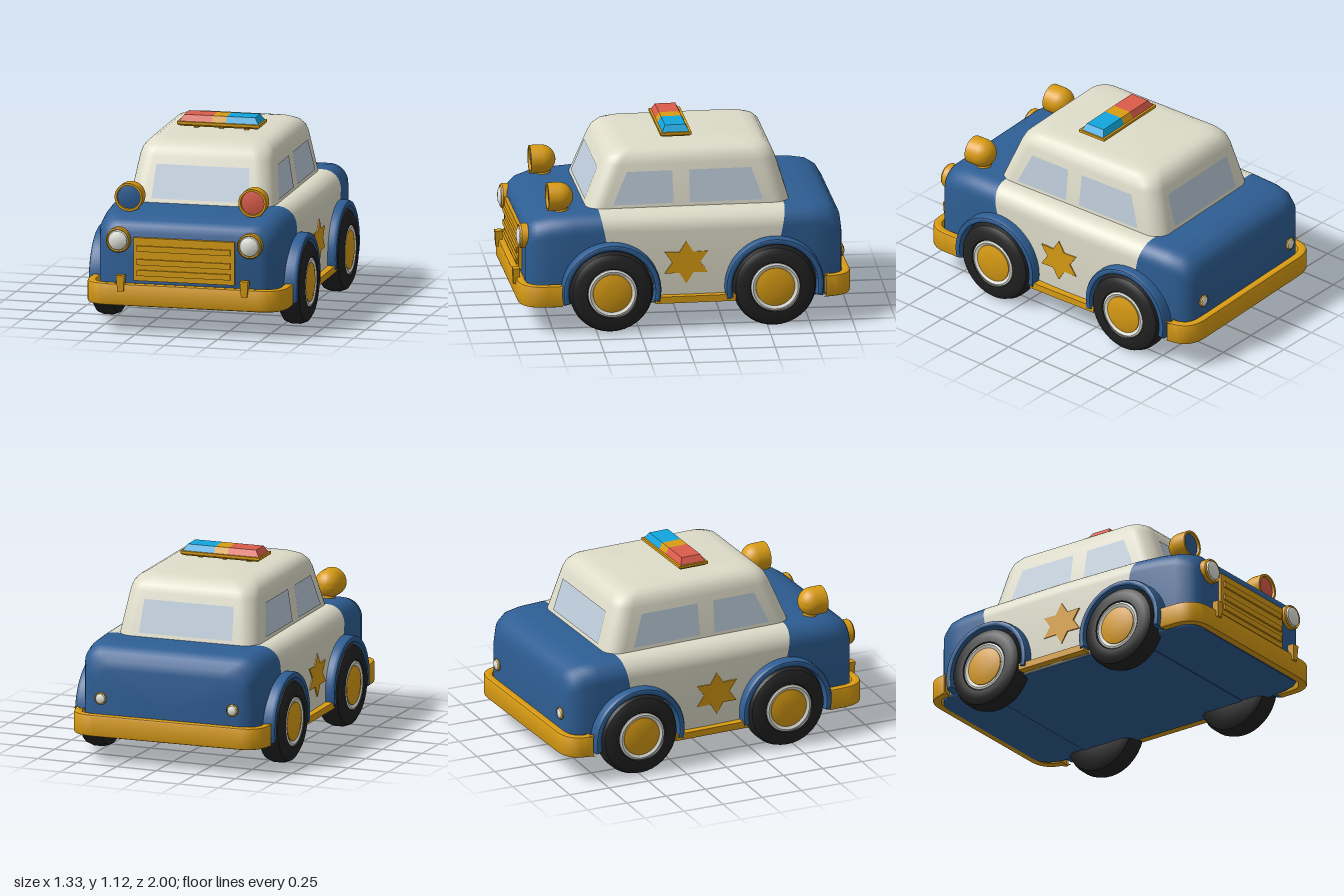
import * as THREE from 'three';
import { toCreasedNormals } from 'three/addons/utils/BufferGeometryUtils.js';

const paint = (name, color, side = THREE.FrontSide) => {
  const m = new THREE.MeshStandardMaterial({ color, side });
  m.name = name;
  return m;
};

// Counter-clockwise rounded rectangle with separate radii for low and high b
function roundRect(a0, a1, b0, b1, rLow, rHigh) {
  const pts = [];
  const corners = [[a1, b0, -1, 1, rLow], [a1, b1, -1, -1, rHigh], [a0, b1, 1, -1, rHigh], [a0, b0, 1, 1, rLow]];
  corners.forEach(([a, b, sa, sb, r], k) => {
    const n = r > 0 ? 8 : 0;
    for (let i = 0; i <= n; i++) {
      const t = (k - 1 + i / (n || 1)) * Math.PI / 2;
      pts.push([a + sa * r + r * Math.cos(t), b + sb * r + r * Math.sin(t)]);
    }
  });
  return pts;
}

// Skin over a row of rings, closed at both ends
function loft(rings, crease = 0.75) {
  const n = rings[0].length, pos = [], idx = [];
  rings.forEach(r => r.forEach(p => pos.push(...p)));
  for (let k = 0; k < rings.length - 1; k++) {
    for (let i = 0; i < n; i++) {
      const a = k * n + i, b = k * n + (i + 1) % n;
      idx.push(a, b, b + n, a, b + n, a + n);
    }
  }
  [0, rings.length - 1].forEach((k, end) => {
    const c = pos.length / 3;
    pos.push(...[0, 1, 2].map(j => rings[k].reduce((s, p) => s + p[j], 0) / n));
    for (let i = 0; i < n; i++) {
      const a = k * n + i, b = k * n + (i + 1) % n;
      idx.push(c, end ? a : b, end ? b : a);
    }
  });
  const g = new THREE.BufferGeometry();
  g.setAttribute('position', new THREE.Float32BufferAttribute(pos, 3));
  g.setIndex(idx);
  return toCreasedNormals(g, crease);
}

const ringUp = (y, x0, x1, z0, z1, r = 0) =>
  roundRect(z0, z1, x0, x1, r, r).map(([z, x]) => [x, y, z]);
const ringAlong = ([z, w, h, shear = 0]) =>
  roundRect(-w, w, 0.16, h, 0.02, 0.11).map(([x, y]) => [x, y, z + shear * (y - 0.68)]);
const lathe = pts => toCreasedNormals(
  new THREE.LatheGeometry(pts.map(p => new THREE.Vector2(...p)), 40), 0.6);

// C-shaped bumper facing +z
function bumper(w, out, end) {
  const s = new THREE.Shape(), t = 0.05, r = 0.16;
  s.moveTo(w, -end);
  s.lineTo(w - t, -end);
  s.lineTo(w - t, r - out);
  s.quadraticCurveTo(w - t, t - out, w - r, t - out);
  s.lineTo(r - w, t - out);
  s.quadraticCurveTo(t - w, t - out, t - w, r - out);
  s.lineTo(t - w, -end);
  s.lineTo(-w, -end);
  s.lineTo(-w, r - out);
  s.quadraticCurveTo(-w, -out, r - w, -out);
  s.lineTo(w - r, -out);
  s.quadraticCurveTo(w, -out, w, r - out);
  const g = new THREE.ExtrudeGeometry(s, {
    depth: 0.106, bevelThickness: 0.012, bevelSize: 0.012, bevelOffset: -0.012, bevelSegments: 2, curveSegments: 10 });
  return toCreasedNormals(g.rotateX(-Math.PI / 2).translate(0, 0.174, 0), 0.7);
}

export function createModel() {
  const blue = paint('body blue', 0x2e5e94);
  const cream = paint('cream', 0xdedcc9);
  const gold = paint('gold trim', 0xd99c14);
  const black = paint('tyre black', 0x222222);
  const white = paint('white', 0xe6e6de);
  const glass = paint('window glass', 0xbccbd9, THREE.DoubleSide);
  const red = paint('signal red', 0xdb5c4b);
  const cyan = paint('signal cyan', 0x12a5dc);

  const root = new THREE.Group(), car = new THREE.Group();
  root.name = 'policeCar';
  car.name = 'car';
  car.rotation.y = 0.035;
  car.position.x = -0.005;
  root.add(car);
  const add = (name, geo, mat, x = 0, y = 0, z = 0) => {
    const m = new THREE.Mesh(geo, mat);
    m.name = name;
    m.position.set(x, y, z);
    car.add(m);
    return m;
  };
  const box = (name, mat, x0, x1, y0, y1, z0, z1) =>
    add(name, new THREE.BoxGeometry(x1 - x0, y1 - y0, z1 - z0), mat, (x0 + x1) / 2, (y0 + y1) / 2, (z0 + z1) / 2);

  // Lower body: z, half width, top height, slant of the colour break
  const rearBreak = [-0.59, 0.567, 0.698, -0.2], frontBreak = [0.49, 0.56, 0.7, 0.2];
  add('rearBody', loft([[-0.935, 0.44, 0.56], [-0.925, 0.48, 0.61], [-0.895, 0.52, 0.655],
    [-0.84, 0.545, 0.685], [-0.75, 0.558, 0.696], rearBreak].map(ringAlong)), blue);
  add('doors', loft([rearBreak, [-0.05, 0.575, 0.7], frontBreak].map(ringAlong)), cream);
  add('hood', loft([frontBreak, [0.65, 0.552, 0.692], [0.78, 0.54, 0.677], [0.86, 0.52, 0.655],
    [0.9, 0.49, 0.63], [0.92, 0.45, 0.59]].map(ringAlong)), blue);
  box('floor', blue, -0.555, 0.555, 0.155, 0.165, -0.62, 0.52);

  // Cabin: height, half width, front, back
  add('cabin', loft([[0.66, 0.4435, 0.571, -0.647], [0.75, 0.43, 0.535, -0.62], [0.95, 0.4, 0.455, -0.56],
    [0.99, 0.387, 0.435, -0.543], [1.02, 0.362, 0.405, -0.515], [1.036, 0.328, 0.37, -0.48],
    [1.042, 0.28, 0.32, -0.43]].map(([y, w, f, b]) => ringUp(y, -w, w, b, f, 0.1))), cream);

  // Windows, flat against the sloping cabin faces
  const pane = (name, pts) => {
    const g = new THREE.BufferGeometry();
    g.setAttribute('position', new THREE.Float32BufferAttribute(pts.flat(), 3));
    g.setIndex([0, 1, 2, 0, 2, 3]);
    g.computeVertexNormals();
    add(name, g, glass);
  };
  const lo = 0.72, hi = 0.91;
  const endPane = (name, zAt) => pane(name, [[-0.29, lo, zAt(lo)], [0.29, lo, zAt(lo)],
    [0.278, hi, zAt(hi)], [-0.278, hi, zAt(hi)]]);
  endPane('windshield', y => 0.54 - 0.4 * (y - 0.75));
  endPane('rearWindow', y => -0.625 + 0.3 * (y - 0.75));
  const sideX = y => 0.434 - 0.15 * (y - 0.75);
  for (const s of [1, -1]) {
    const sidePane = (name, a, b, c, d) => pane(name, [[s * sideX(lo), lo, a], [s * sideX(lo), lo, b],
      [s * sideX(hi), hi, c], [s * sideX(hi), hi, d]]);
    sidePane('frontSideWindow', 0.405, 0.05, 0.055, 0.32);
    sidePane('rearSideWindow', -0.045, -0.475, -0.408, -0.045);
  }

  // Wheels and fenders
  const tyre = lathe([[0, -0.08], [0.2, -0.08], [0.232, -0.06], [0.245, -0.025], [0.245, 0.025],
    [0.232, 0.06], [0.2, 0.08], [0.15, 0.08], [0.138, 0.06], [0, 0.06]]);
  const rim = lathe([[0.143, 0.05], [0.143, 0.075], [0.132, 0.08], [0.11, 0.066], [0, 0.066]]);
  const hub = lathe([[0.116, 0.06], [0.114, 0.074], [0.08, 0.083], [0.04, 0.087], [0, 0.088]]);
  const arch = new THREE.Shape();
  arch.absarc(0, 0, 0.29, -0.25, Math.PI + 0.25, false);
  arch.absarc(0, 0, 0.248, Math.PI + 0.25, -0.25, true);
  const fender = toCreasedNormals(new THREE.ExtrudeGeometry(arch, { depth: 0.08, bevelThickness: 0.025,
    bevelSize: 0.014, bevelOffset: -0.014, bevelSegments: 3, curveSegments: 32 })
    .translate(0, 0, -0.04).rotateY(Math.PI / 2), 0.6);
  for (const s of [1, -1]) {
    for (const [end, z] of [['front', 0.435], ['rear', -0.52]]) {
      [['Tyre', tyre, black], ['Rim', rim, white], ['Hub', hub, gold]].forEach(([part, geo, mat]) => {
        add(end + part, geo, mat, s * 0.56, 0.245, z).rotation.z = -s * Math.PI / 2;
      });
      add(end + 'Fender', fender, blue, s * 0.56, 0.245, z);
    }
    box('runningBoard', gold, s > 0 ? 0.5 : -0.615, s > 0 ? 0.615 : -0.5, 0.165, 0.205, -0.29, 0.18);
  }

  // Door stars
  const star = new THREE.Shape();
  for (let i = 0; i < 12; i++) {
    const r = i % 2 ? 0.072 : 0.128, t = Math.PI / 2 + i * Math.PI / 6;
    star[i ? 'lineTo' : 'moveTo'](1.14 * r * Math.cos(t), r * Math.sin(t));
  }
  const starGeo = new THREE.ExtrudeGeometry(star, { depth: 0.009, bevelEnabled: false });
  for (const s of [1, -1]) add('doorStar', starGeo, gold, s * 0.571, 0.4, -0.005).rotation.y = s * Math.PI / 2;

  // Bumpers and grille
  add('frontBumper', bumper(0.6, 0.968, 0.72), gold);
  add('rearBumper', bumper(0.605, 0.98, 0.83), gold).rotation.y = Math.PI;
  box('grille', gold, -0.302, 0.302, 0.31, 0.565, 0.9, 0.94);
  for (const y of [0.502, 0.422, 0.358]) box('grilleBar', gold, -0.28, 0.28, y - 0.017, y + 0.017, 0.93, 0.952);

  // Lamps, all turned to face along z
  const shell = [[0, -0.083]];
  for (let i = 1; i <= 8; i++) {
    const t = i * Math.PI / 16;
    shell.push([0.083 * Math.sin(t), -0.083 * Math.cos(t)]);
  }
  const spotShell = lathe([...shell, [0.083, 0.068], [0.07, 0.068], [0.068, 0.045], [0, 0.045]]);
  const spotLens = lathe([[0.069, 0.045], [0.069, 0.052], [0.04, 0.058], [0, 0.06]]);
  const lampRing = lathe([[0, -0.07], [0.073, -0.07], [0.073, 0.012], [0.066, 0.022], [0.06, 0.012], [0, 0.012]]);
  const lampLens = lathe([[0.061, 0.01], [0.055, 0.024], [0.035, 0.034], [0, 0.038]]);
  const lamp = (name, geo, mat, x, y, z, dir = 1, size = 1) => {
    const m = add(name, geo, mat, x, y, z);
    m.rotation.x = dir * Math.PI / 2;
    m.scale.setScalar(size);
  };
  for (const s of [1, -1]) {
    lamp('headlightRing', lampRing, gold, s * 0.393, 0.545, 0.93);
    lamp('headlightLens', lampLens, white, s * 0.393, 0.545, 0.93);
    lamp('spotlightShell', spotShell, gold, s * 0.37, 0.768, 0.715);
    lamp('spotlightLens', spotLens, s > 0 ? red : blue, s * 0.37, 0.768, 0.715);
    add('spotlightBase', new THREE.CylinderGeometry(0.035, 0.048, 0.05, 24), gold, s * 0.37, 0.688, 0.7);
    lamp('tailLightRing', lampRing, gold, s * 0.41, 0.385, -0.935, -1, 0.5);
    lamp('tailLightLens', lampLens, white, s * 0.41, 0.385, -0.935, -1, 0.5);
    const x = s * 0.37;
    add('bumperGuard', loft([ringUp(0.25, x - 0.018, x + 0.018, 0.945, 0.982),
      ringUp(0.345, x - 0.025, x + 0.025, 0.945, 0.987)], 0.3), gold);
  }

  // Roof light bar
  for (const x of [-0.15, 0, 0.15]) box('lightBarLeg', gold, x - 0.013, x + 0.013, 1.03, 1.07, -0.01, 0.03);
  add('lightBarBase', loft([ringUp(1.06, -0.23, 0.23, -0.065, 0.085),
    ringUp(1.072, -0.247, 0.247, -0.082, 0.102), ringUp(1.088, -0.247, 0.247, -0.082, 0.102)], 0.3), gold);
  const dome = (name, mat, x0, x1, t0, t1) => add(name, loft([ringUp(1.086, x0, x1, -0.07, 0.09),
    ringUp(1.125, t0, t1, -0.05, 0.07)], 0.3), mat);
  dome('redLight', red, -0.238, -0.042, -0.212, -0.042);
  dome('lightBarCentre', gold, -0.042, 0.042, -0.042, 0.042);
  dome('cyanLight', cyan, 0.042, 0.238, 0.042, 0.212);
  return root;
}
